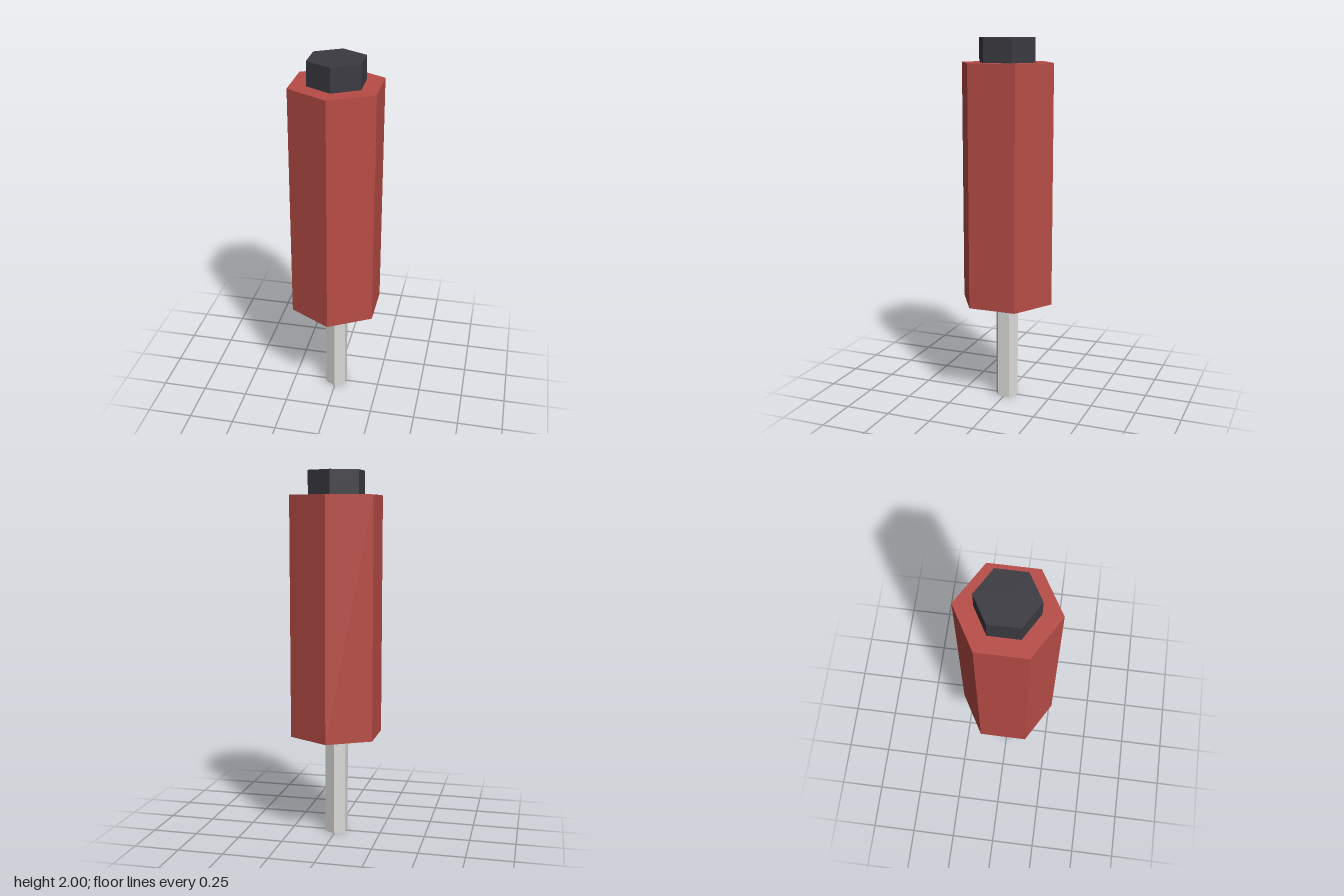
import * as THREE from 'three';

const flatMaterial = (name, color) => {
  const material = new THREE.MeshStandardMaterial({ color, flatShading: true });
  material.name = name;
  return material;
};

// Upright six-sided bar between two heights, one corner facing the front
function hexBar(name, radius, bottom, top, material) {
  const geometry = new THREE.CylinderGeometry(radius, radius, top - bottom, 6);
  const mesh = new THREE.Mesh(geometry, material);
  mesh.name = name;
  mesh.position.y = (bottom + top) / 2;
  return mesh;
}

export function createModel() {
  const red = flatMaterial('handle red', 0xb84c46);
  const steel = flatMaterial('steel grey', 0xdadad8);
  const dark = flatMaterial('cap charcoal', 0x3b3a41);

  const model = new THREE.Group();
  model.name = 'screwdriver';
  model.add(
    hexBar('shaft', 0.065, 0, 0.56, steel),
    hexBar('handle', 0.262, 0.56, 1.87, red),
    hexBar('endCap', 0.16, 1.87, 2, dark),
  );
  return model;
}
